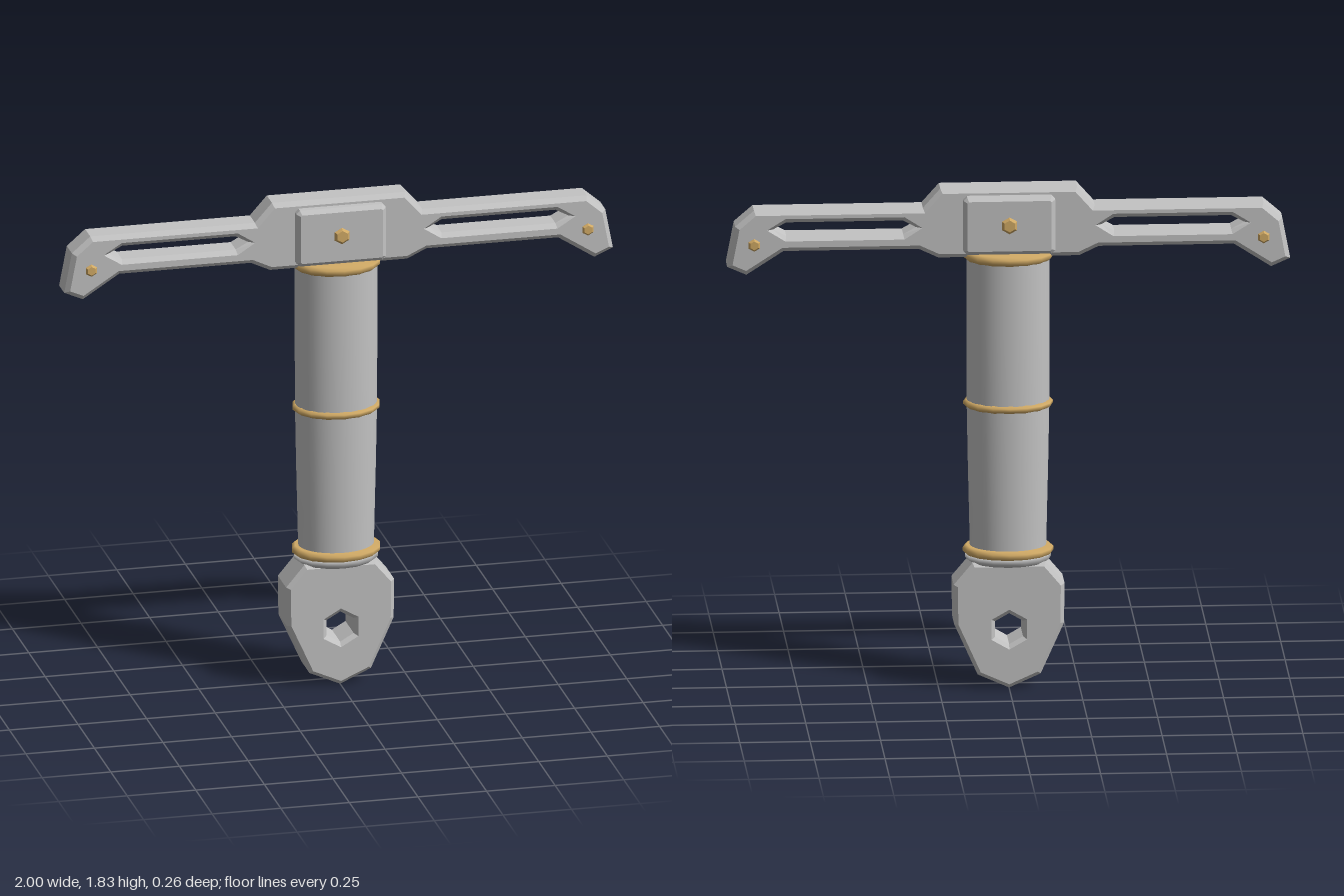
import * as THREE from 'three';

const steel = new THREE.MeshStandardMaterial({ color: 0xc3c3c3 });
steel.name = 'steel grey';
const brass = new THREE.MeshStandardMaterial({ color: 0xd2ab66 });
brass.name = 'brass';

const points = (list) => list.map(([x, y]) => new THREE.Vector2(x, y));

// Bevelled plate of total thickness 2 * half; the outline is its widest section
function plate(name, outline, holes, half, bevel) {
  const shape = new THREE.Shape(points(outline));
  for (const hole of holes) shape.holes.push(new THREE.Path(points(hole)));
  const geometry = new THREE.ExtrudeGeometry(shape, {
    depth: 2 * (half - bevel), bevelEnabled: true, bevelThickness: bevel,
    bevelSize: bevel, bevelOffset: -bevel, bevelSegments: 1,
  });
  geometry.translate(0, 0, -(half - bevel));
  const mesh = new THREE.Mesh(geometry, steel);
  mesh.name = name;
  return mesh;
}

// Turned part, squashed in z to an oval section
function turned(name, profile, sides, material) {
  const mesh = new THREE.Mesh(new THREE.LatheGeometry(points(profile), sides), material);
  mesh.scale.z = 0.82;
  mesh.name = name;
  return mesh;
}

// Hexagonal stud passing through from front to back, with chamfered heads
function stud(name, x, y, radius, half) {
  const c = radius * 0.3;
  const profile = points([[0, -half], [radius - c, -half], [radius, c - half],
    [radius, half - c], [radius - c, half], [0, half]]);
  const geometry = new THREE.LatheGeometry(profile, 6).toNonIndexed();
  geometry.computeVertexNormals();
  geometry.rotateX(Math.PI / 2);
  const mesh = new THREE.Mesh(geometry, brass);
  mesh.position.set(x, y, 0);
  mesh.name = name;
  return mesh;
}

const mirrored = (list) => list.map(([x, y]) => [-x, y]).reverse();

export function createModel() {
  const model = new THREE.Group();
  model.name = 'hilt';

  // Crossguard with a slot in each arm
  const half = [[0.25, 1.577], [0.32, 1.61], [0.8, 1.61], [0.932, 1.525], [1, 1.555],
    [0.972, 1.702], [0.905, 1.76], [0.305, 1.76], [0.243, 1.83]];
  const slot = [[0.33, 1.69], [0.375, 1.665], [0.79, 1.665], [0.837, 1.69],
    [0.79, 1.715], [0.375, 1.715]];
  model.add(plate('crossguard', [...half, ...mirrored(half)], [slot, mirrored(slot)], 0.055, 0.016));

  // Central block with clipped corners, and the studs
  const corner = [[0.15, 1.595], [0.163, 1.608], [0.163, 1.793], [0.15, 1.806]];
  model.add(plate('guardBlock', [...corner, ...mirrored(corner)], [], 0.092, 0.014));
  model.add(stud('centreStud', 0, 1.703, 0.031, 0.102));
  model.add(stud('leftTipStud', 0.905, 1.637, 0.023, 0.064));
  model.add(stud('rightTipStud', -0.905, 1.637, 0.023, 0.064));

  // Tapered oval grip
  model.add(turned('grip', [[0.135, 0.47], [0.139, 0.65], [0.143, 0.82], [0.147, 1.035],
    [0.148, 1.3], [0.148, 1.57]], 40, steel));

  // Brass rings
  [['lowerRing', 0.495, 0.017, 0.161], ['middleRing', 1.033, 0.014, 0.159], ['upperRing', 1.577, 0.017, 0.161]]
    .forEach(([name, y, h, r]) => {
      model.add(turned(name, [[0, y - h], [r - 0.012, y - h], [r, y - h * 0.4],
        [r, y + h * 0.4], [r - 0.012, y + h], [0, y + h]], 16, brass));
    });

  // Collar beneath the grip
  model.add(turned('collar', [[0, 0.452], [0.135, 0.452], [0.153, 0.465], [0.153, 0.483], [0, 0.483]], 16, steel));

  // Faceted pommel with a hexagonal hole
  const side = [[0, 0], [0.112, 0.05], [0.195, 0.235], [0.197, 0.38], [0.13, 0.46]];
  const hole = Array.from({ length: 6 }, (_, i) => {
    const a = Math.PI / 2 + i * Math.PI / 3;
    return [0.057 * Math.cos(a), 0.216 + 0.057 * Math.sin(a)];
  });
  model.add(plate('pommel', [...side, ...mirrored(side.slice(1))], [hole], 0.077, 0.014));

  return model;
}
